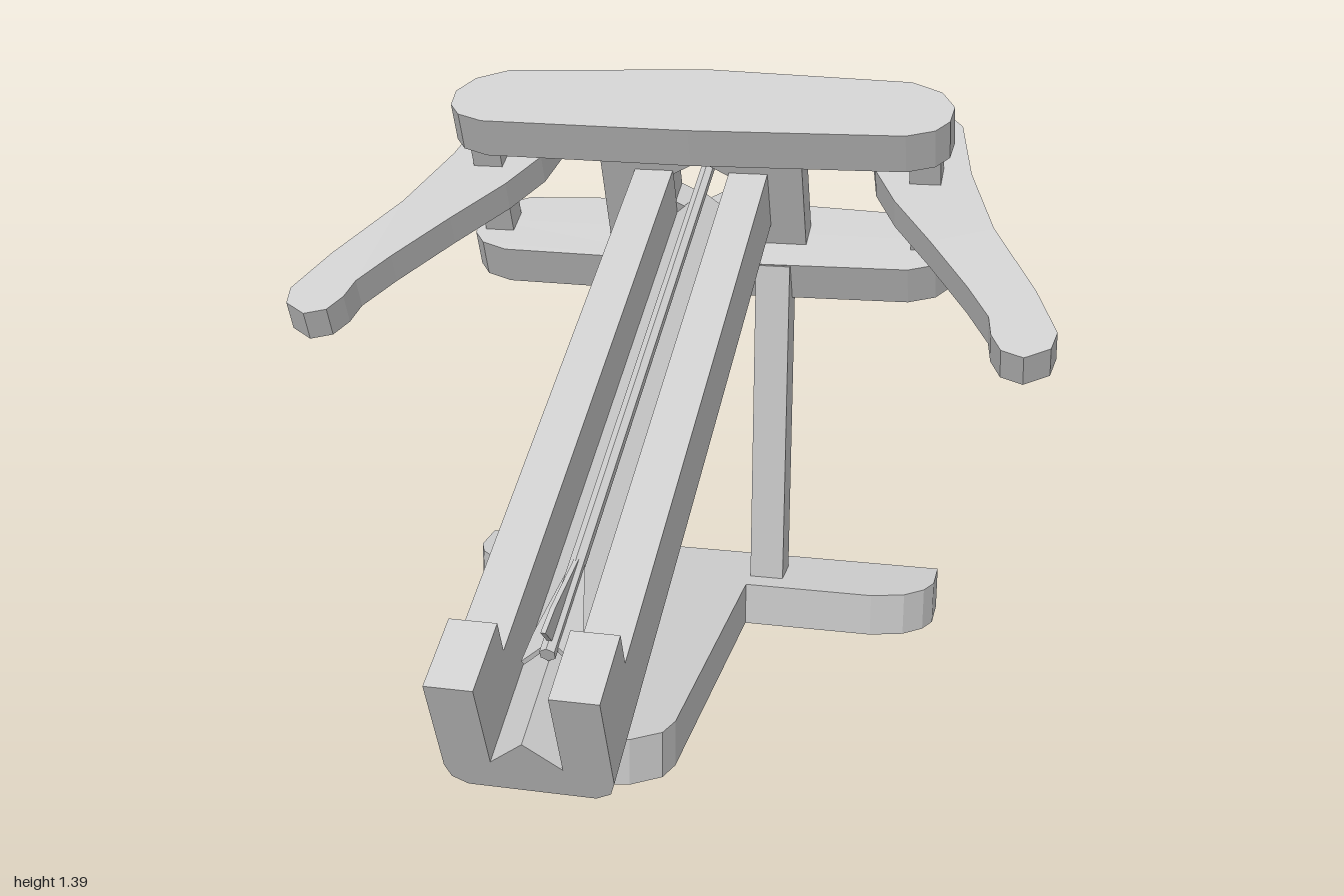
import * as THREE from 'three';

const mat = new THREE.MeshStandardMaterial({ color: 0xcccccc, flatShading: true, side: THREE.DoubleSide });

function add(parent, name, geometry) {
  const mesh = new THREE.Mesh(geometry, mat);
  mesh.name = name;
  parent.add(mesh);
  return mesh;
}

const shapeOf = (pts) => new THREE.Shape(pts.map(([x, y]) => new THREE.Vector2(x, y)));
const flip = (pts) => pts.map(([x, y]) => [-x, y]);
// Closes a right-hand outline with its mirror image
const mirrored = (pts) => [...pts, ...flip(pts).reverse().filter(([x]) => x !== 0)];

// Outline seen from above (x, forward), raised from y0 by h
function plan(pts, y0, h) {
  const g = new THREE.ExtrudeGeometry(shapeOf(pts), { depth: h, bevelEnabled: false });
  return g.rotateX(-Math.PI / 2).translate(0, y0, 0);
}

// Cross-section (x, y) running forward (-z) from w0 to w1
function run(shape, w0, w1) {
  const g = new THREE.ExtrudeGeometry(shape, { depth: w1 - w0, bevelEnabled: false });
  return g.translate(0, 0, -w1);
}

function box(x0, x1, y0, y1, z0, z1) {
  return new THREE.BoxGeometry(x1 - x0, y1 - y0, z1 - z0)
    .translate((x0 + x1) / 2, (y0 + y1) / 2, (z0 + z1) / 2);
}

function createStand() {
  const stand = new THREE.Group();
  stand.name = 'stand';
  // T-shaped foot with rounded ends
  add(stand, 'foot', plan(mirrored([
    [0, 0.755], [0.605, 0.755], [0.605, 0.65], [0.585, 0.6], [0.54, 0.555], [0.46, 0.53],
    [0.14, 0.53], [0.14, -0.28], [0.125, -0.34], [0.065, -0.39], [0, -0.405],
  ]), 0, 0.106));
  for (const s of [-1, 1]) {
    add(stand, 'upright', box(s * 0.182 - 0.042, s * 0.182 + 0.042, 0.1, 0.925, -0.68, -0.59));
  }
  return stand;
}

function createBolt() {
  const bolt = new THREE.Group();
  bolt.name = 'bolt';
  bolt.position.y = 0.157;
  add(bolt, 'boltShaft', new THREE.CylinderGeometry(0.017, 0.017, 1.77, 6)
    .rotateX(-Math.PI / 2).translate(0, 0, -1.085));
  // Flattened four-sided point
  add(bolt, 'boltHead', new THREE.ConeGeometry(1, 0.225, 4)
    .rotateX(-Math.PI / 2).scale(0.11, 0.045, 1).translate(0, 0, -2.035));
  // Three swept vanes around the shaft
  for (let i = 0; i < 3; i++) {
    const vane = add(bolt, 'boltVane', plan([[0, 0.5], [0.055, 0.27], [0.062, 0.2], [0, 0.23]], -0.005, 0.01));
    vane.rotation.z = Math.PI / 2 + i * Math.PI * 2 / 3;
  }
  return bolt;
}

function createLauncher() {
  const launcher = new THREE.Group();
  launcher.name = 'launcher';
  launcher.position.set(0, 0.23, 0.88);
  launcher.rotation.x = THREE.MathUtils.degToRad(25.5);

  // Grooved stock with a central ridge that carries the bolt
  add(launcher, 'stock', run(shapeOf(mirrored([
    [0, 0.138], [0.07, 0.075], [0.07, 0.2], [0.165, 0.2], [0.165, 0.05],
    [0.155, 0.018], [0.125, 0], [0, 0],
  ])), 0, 1.725));

  // Front panel with a six-sided opening
  const panel = shapeOf([[-0.25, -0.01], [0.25, -0.01], [0.25, 0.285], [-0.25, 0.285]]);
  const hole = [];
  for (let i = 0; i < 6; i++) {
    const a = Math.PI / 2 + i * Math.PI / 3;
    hole.push(new THREE.Vector2(0.082 * Math.cos(a), 0.148 + 0.082 * Math.sin(a)));
  }
  panel.holes.push(new THREE.Path(hole));
  add(launcher, 'frontPanel', run(panel, 1.72, 1.8));

  // Upper and lower frame plates
  const plate = mirrored([
    [0, 1.895], [0.5, 1.865], [0.575, 1.825], [0.61, 1.765], [0.605, 1.705],
    [0.575, 1.665], [0.51, 1.64], [0, 1.63],
  ]);
  add(launcher, 'upperPlate', plan(plate, 0.28, 0.1));
  add(launcher, 'lowerPlate', plan(plate, -0.107, 0.1));

  // Curved throwing arms on square pivots, and rear lugs
  const arm = [
    [0.43, 1.98], [0.48, 2.03], [0.56, 2.03], [0.61, 1.97], [0.65, 1.77], [0.72, 1.56],
    [0.83, 1.34], [0.885, 1.2], [0.875, 1.145], [0.82, 1.11], [0.77, 1.13], [0.745, 1.18],
    [0.735, 1.24], [0.68, 1.34], [0.58, 1.5], [0.48, 1.65], [0.42, 1.77], [0.4, 1.88],
  ];
  for (const s of [-1, 1]) {
    add(launcher, 'arm', plan(s > 0 ? arm : flip(arm), 0.114, 0.076));
    add(launcher, 'pivot', box(s * 0.545 - 0.037, s * 0.545 + 0.037, -0.02, 0.29, -1.795, -1.72));
    add(launcher, 'rearLug', box(s * 0.1175 - 0.0475, s * 0.1175 + 0.0475, 0.19, 0.277, -0.164, 0));
  }

  launcher.add(createBolt());
  return launcher;
}

export function createModel() {
  const model = new THREE.Group();
  model.name = 'ballista';
  model.add(createStand(), createLauncher());
  return model;
}
